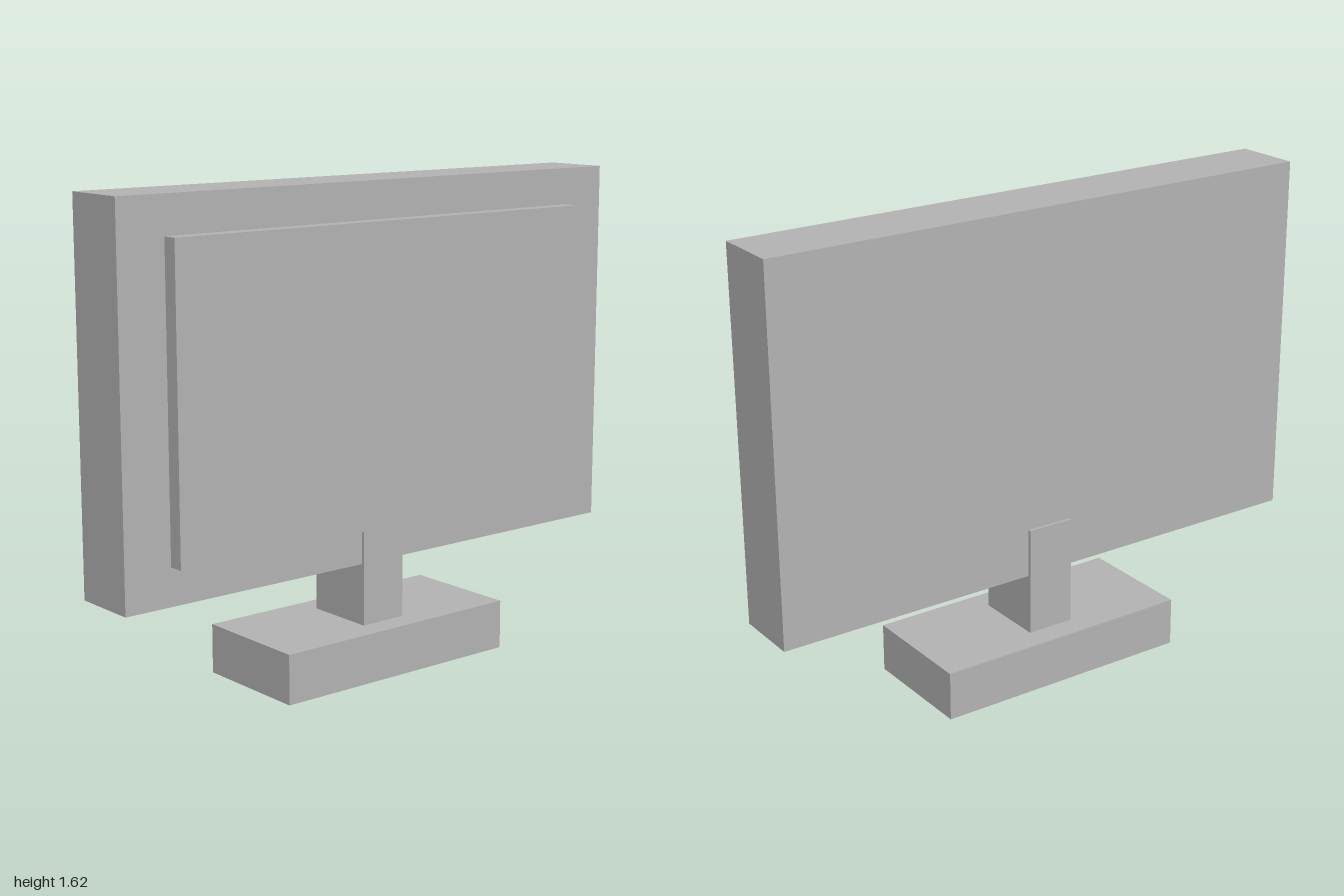
import * as THREE from 'three';

export function createModel() {
  const model = new THREE.Group();
  const grey = new THREE.MeshStandardMaterial({ color: 0xb2b2b2 });
  grey.name = 'plain grey';

  // Box given by its width and its y and z ranges, centred on x = 0
  function block(name, width, y0, y1, z0, z1) {
    const mesh = new THREE.Mesh(new THREE.BoxGeometry(width, y1 - y0, z1 - z0), grey);
    mesh.name = name;
    mesh.position.set(0, (y0 + y1) / 2, (z0 + z1) / 2);
    model.add(mesh);
  }

  block('base', 0.917, 0, 0.167, -0.208, 0.208);
  // Neck runs up into the housing and stands slightly proud of its back
  block('neck', 0.167, 0.167, 0.542, -0.125, 0.125);
  block('housing', 2, 0.375, 1.625, -0.115, 0.115);
  // Raised screen panel on the front
  block('screen', 1.667, 0.5, 1.5, 0.115, 0.167);

  return model;
}
